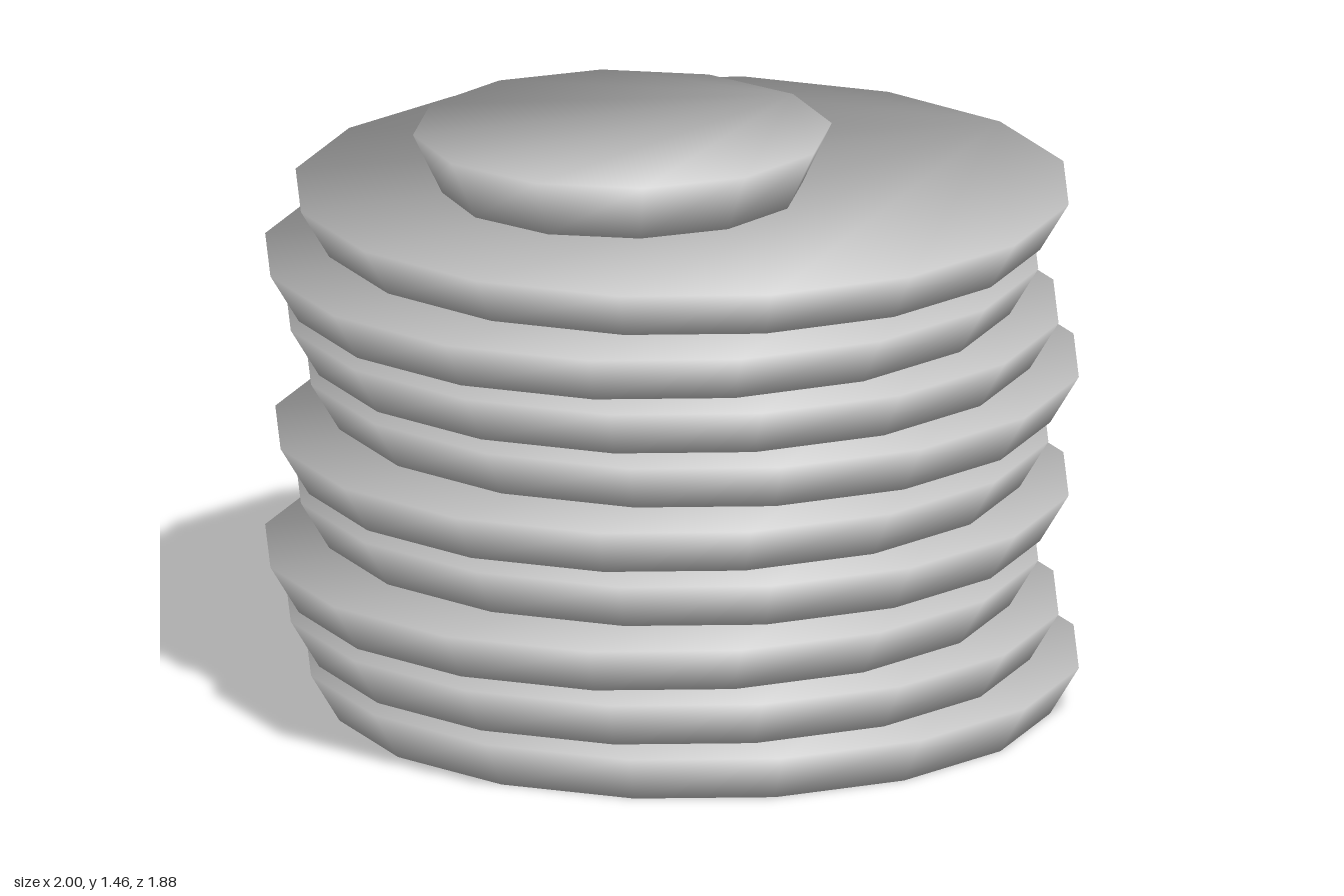
import * as THREE from 'three';

const material = new THREE.MeshStandardMaterial({ color: 0xcccccc });

// Solid flared dish: two rings joined by a wall and flat caps,
// with normals shared between wall and caps so the rims shade softly.
function dishGeometry(baseRadius, rimRadius, height, sides) {
  const wall = new THREE.Vector2(height, baseRadius - rimRadius).normalize();
  const rings = [
    { r: baseRadius, y: 0, n: new THREE.Vector2(wall.x, wall.y - 1).normalize() },
    { r: rimRadius, y: height, n: new THREE.Vector2(wall.x, wall.y + 1).normalize() },
  ];
  const positions = [], normals = [], index = [];
  for (const { r, y, n } of rings) {
    for (let i = 0; i < sides; i++) {
      const a = (i / sides) * Math.PI * 2;
      const c = Math.cos(a), s = Math.sin(a);
      positions.push(r * c, y, r * s);
      normals.push(n.x * c, n.y, n.x * s);
    }
  }
  for (let i = 0; i < sides; i++) {
    const j = (i + 1) % sides;
    index.push(i, sides + i, j, j, sides + i, sides + j); // wall
    if (i > 0 && j > 0) {
      index.push(0, i, j); // underside
      index.push(sides, sides + j, sides + i); // top
    }
  }
  const geometry = new THREE.BufferGeometry();
  geometry.setAttribute('position', new THREE.Float32BufferAttribute(positions, 3));
  geometry.setAttribute('normal', new THREE.Float32BufferAttribute(normals, 3));
  geometry.setIndex(index);
  return geometry;
}

export function createModel() {
  const model = new THREE.Group();
  model.name = 'dishStack';
  const step = 0.1457;

  // Nine plates, shifted sideways in a repeating pattern
  const plate = dishGeometry(0.87, 0.94, 0.117, 16);
  const shifts = [0.06, 0, -0.06, 0.03, -0.03];
  for (let i = 0; i < 9; i++) {
    const mesh = new THREE.Mesh(plate, material);
    mesh.name = `plate${i + 1}`;
    mesh.position.set(shifts[i % shifts.length], i * step, 0);
    model.add(mesh);
  }

  // Small bowl on top, off centre
  const bowl = new THREE.Mesh(dishGeometry(0.435, 0.505, 0.146, 12), material);
  bowl.name = 'bowl';
  bowl.position.set(-0.147, 9 * step, 0);
  model.add(bowl);

  return model;
}
